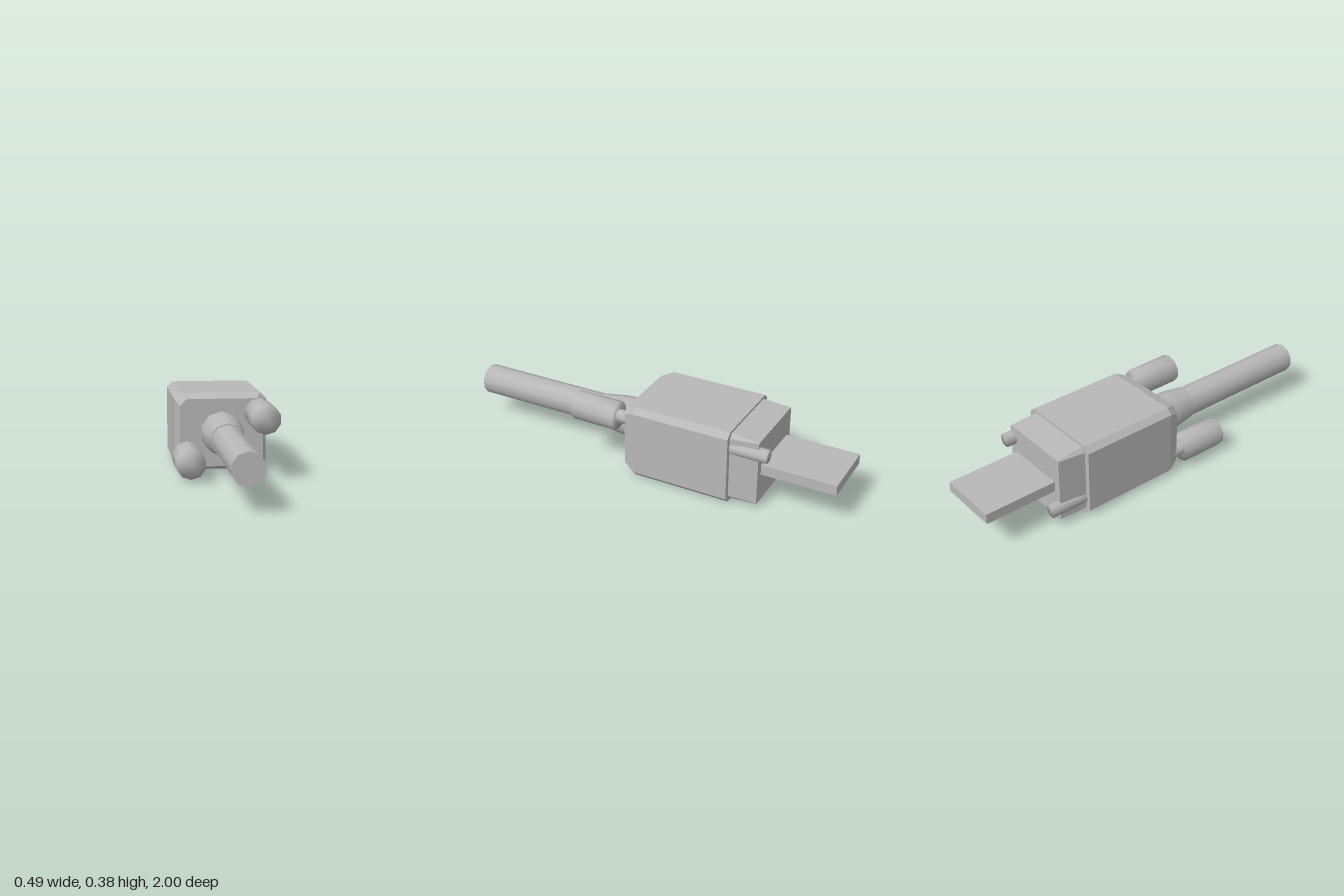
import * as THREE from 'three';
import { mergeVertices } from 'three/addons/utils/BufferGeometryUtils.js';

const CY = 0.191; // height of the centre axis

// Rectangle with cut corners, counter-clockwise seen from the front
function cutRect(w, h, c, z) {
  return [
    [w, -h + c], [w, h - c], [w - c, h], [-w + c, h],
    [-w, h - c], [-w, -h + c], [-w + c, -h], [w - c, -h],
  ].map(([x, y]) => new THREE.Vector3(x, y + CY, z));
}

// Flat-faced solid through rings ordered from back to front
function loft(rings) {
  const pos = [];
  const tri = (a, b, c) => [a, b, c].forEach((v) => pos.push(v.x, v.y, v.z));
  const n = rings[0].length;
  for (let r = 0; r < rings.length - 1; r++) {
    const p = rings[r], q = rings[r + 1];
    for (let i = 0; i < n; i++) {
      const j = (i + 1) % n;
      tri(p[i], p[j], q[j]);
      tri(p[i], q[j], q[i]);
    }
  }
  const back = rings[0], front = rings[rings.length - 1];
  for (let i = 1; i < n - 1; i++) {
    tri(back[0], back[i + 1], back[i]);
    tri(front[0], front[i], front[i + 1]);
  }
  const g = new THREE.BufferGeometry();
  g.setAttribute('position', new THREE.Float32BufferAttribute(pos, 3));
  g.computeVertexNormals();
  return g;
}

// Ten-sided rod along z, radius r0 at z0 and r1 at z1
function rod(r0, r1, z0, z1, open = false) {
  const g = new THREE.CylinderGeometry(r1, r0, z1 - z0, 10, 1, open);
  g.rotateX(Math.PI / 2);
  g.translate(0, 0, (z0 + z1) / 2);
  return g;
}

// Shares normals across the rims for a soft, rounded look
function soften(g) {
  g.deleteAttribute('normal');
  g.deleteAttribute('uv');
  const m = mergeVertices(g, 1e-4);
  m.computeVertexNormals();
  return m;
}

export function createModel() {
  const group = new THREE.Group();
  const grey = new THREE.MeshStandardMaterial({ color: 0xb8b8b8 });
  grey.name = 'grey';
  const add = (name, geometry, x = 0, y = 0) => {
    const m = new THREE.Mesh(geometry, grey);
    m.name = name;
    m.position.set(x, y, 0);
    group.add(m);
  };

  // Housing with a bevelled front
  add('housing', loft([
    cutRect(0.228, 0.191, 0.028, -0.487),
    cutRect(0.228, 0.191, 0.028, 0.01),
    cutRect(0.205, 0.168, 0.032, 0.068),
  ]));

  // Tapered rear block and contact blade
  add('rearBlock', loft([
    cutRect(0.19, 0.167, 0.004, -0.628),
    cutRect(0.202, 0.18, 0.022, -0.48),
  ]));
  const blade = new THREE.BoxGeometry(0.306, 0.052, 0.4);
  blade.translate(0, 0.196, -0.8);
  add('blade', blade);

  // Strain relief and cable
  add('strainReliefBase', rod(0.106, 0.097, 0.06, 0.19, true), 0, CY);
  add('strainReliefTip', rod(0.097, 0.081, 0.19, 0.3), 0, CY);
  add('cable', rod(0.076, 0.076, 0.28, 1), 0, CY);

  // Two thumbscrews on opposite corners
  for (const s of [1, -1]) {
    const x = 0.177 * s, y = CY + 0.103 * s;
    add('screwKnob', soften(rod(0.072, 0.072, 0.115, 0.347)), x, y);
    add('screwShaft', soften(rod(0.034, 0.034, -0.672, 0.13)), x, y);
  }
  return group;
}
